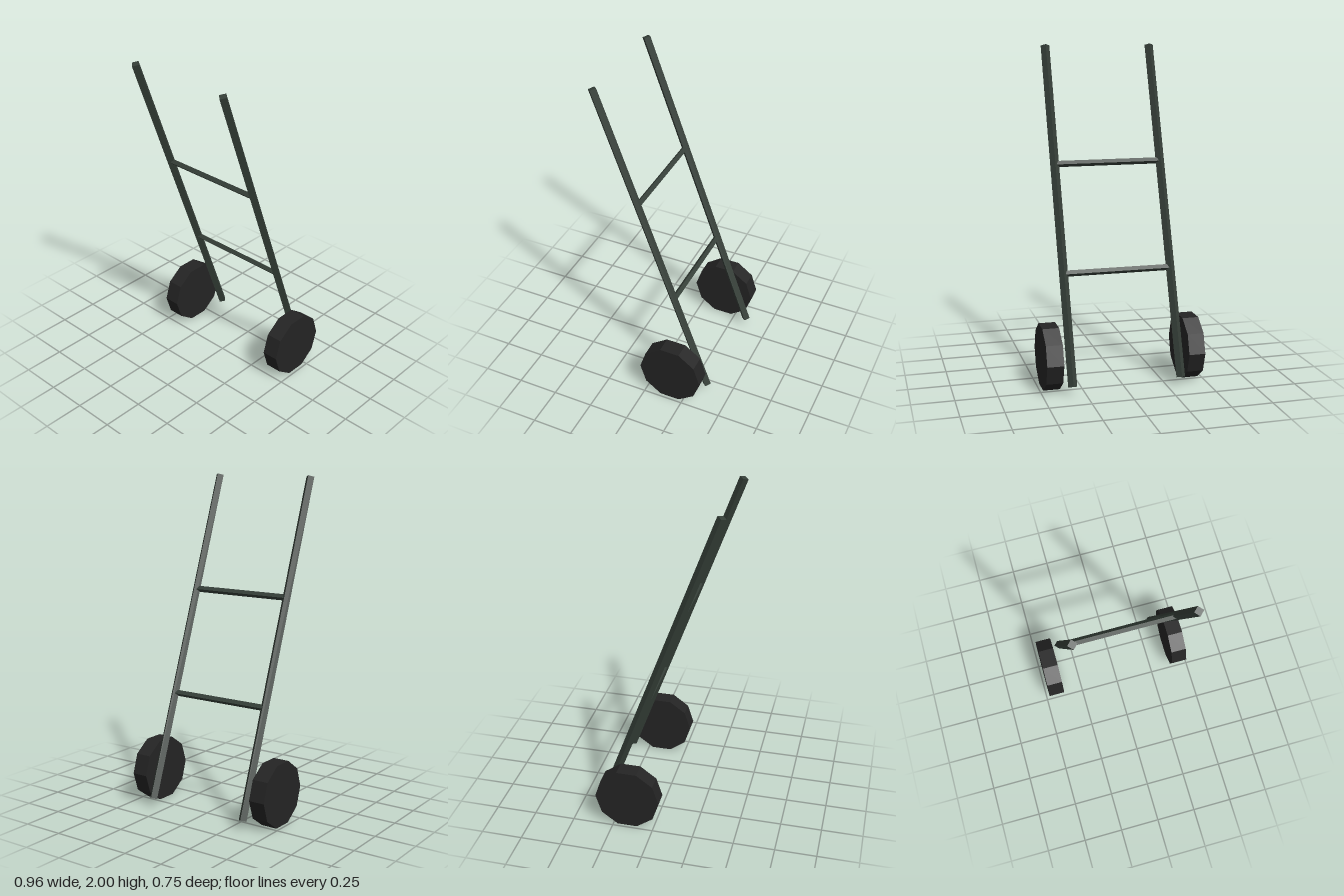
import * as THREE from 'three';

export function createModel() {
  const group = new THREE.Group();
  const frame = new THREE.MeshStandardMaterial({ name: 'dark green frame', color: 0x353f38, flatShading: true });
  const rubber = new THREE.MeshStandardMaterial({ name: 'black rubber', color: 0x242424, flatShading: true });

  const add = (name, geometry, material, x, y, z) => {
    const mesh = new THREE.Mesh(geometry, material);
    mesh.name = name;
    mesh.position.set(x, y, z);
    group.add(mesh);
    return mesh;
  };

  // Slanted poles run between these two centres, seen in the side plane
  const top = { y: 1.991, z: 0.352 };
  const bottom = { y: 0.054, z: -0.352 };
  const dy = top.y - bottom.y, dz = top.z - bottom.z;
  const poleGeometry = new THREE.CylinderGeometry(0.027, 0.027, Math.hypot(dy, dz), 4);

  // Ten-sided wheels, flat side down
  const wheelGeometry = new THREE.CylinderGeometry(0.198, 0.198, 0.1, 10).rotateZ(Math.PI / 2);

  for (const [side, s] of [['left', 1], ['right', -1]]) {
    const pole = add(side + 'Pole', poleGeometry, frame, s * 0.33, (top.y + bottom.y) / 2, 0);
    pole.rotation.x = Math.atan2(dz, dy);
    add(side + 'Wheel', wheelGeometry, rubber, s * 0.43, 0.188, -0.163);
  }

  // Square rungs set on edge, joining the poles
  const rungGeometry = new THREE.CylinderGeometry(0.019, 0.019, 0.65, 4).rotateZ(Math.PI / 2);
  for (const [name, y] of [['lowerRung', 0.675], ['upperRung', 1.296]]) {
    add(name, rungGeometry, frame, 0, y, bottom.z + (y - bottom.y) * dz / dy);
  }
  return group;
}
